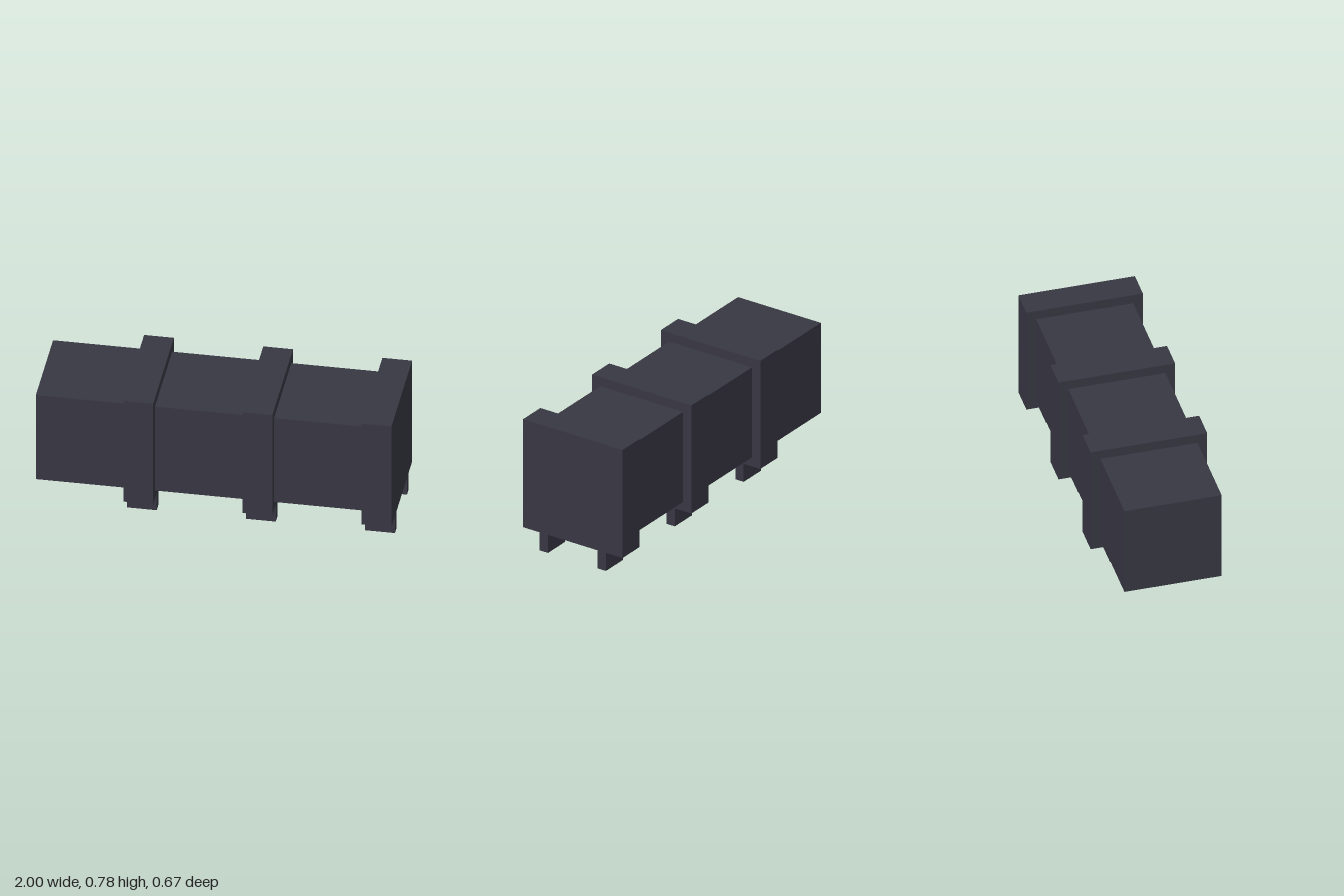
import * as THREE from 'three';

export function createModel() {
  const group = new THREE.Group();
  const darkSlate = new THREE.MeshStandardMaterial({ color: 0x383743 });
  darkSlate.name = 'darkSlate';
  const u = 1 / 18; // modelling unit

  // Box given by its minimum and maximum corners, in modelling units
  function box(name, min, max) {
    const size = max.map((v, i) => (v - min[i]) * u);
    const mesh = new THREE.Mesh(new THREE.BoxGeometry(...size), darkSlate);
    mesh.position.set(...max.map((v, i) => ((v + min[i]) / 2) * u));
    mesh.name = name;
    group.add(mesh);
  }

  // Long square duct, ending inside the last collar
  box('duct', [-18, 3, -5], [17, 13, 5]);

  // Raised collars, each standing on a pair of feet
  for (const x of [-9, 3, 15]) {
    box('collar', [x, 2, -6], [x + 3, 14, 6]);
    box('frontFoot', [x, 0, 3], [x + 3, 2, 4]);
    box('backFoot', [x, 0, -4], [x + 3, 2, -3]);
  }
  return group;
}
